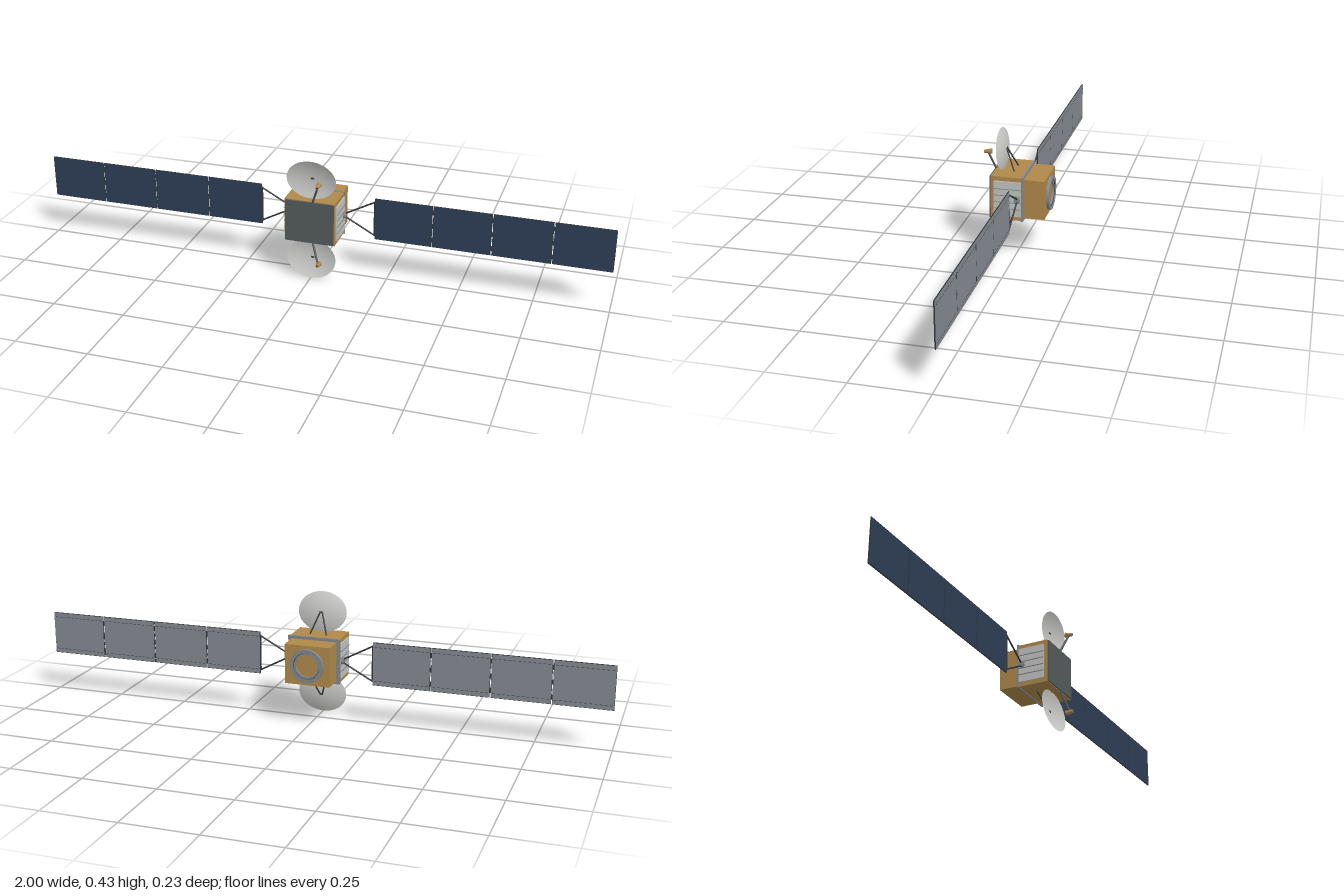
import * as THREE from 'three';

const mat = (name, color, side = THREE.FrontSide) => {
  const m = new THREE.MeshStandardMaterial({ color, side });
  m.name = name;
  return m;
};

export function createModel() {
  const model = new THREE.Group();
  model.name = 'satellite';
  const gold = mat('gold foil', 0xb0884a);
  const silver = mat('silver radiator', 0xc2c4c2);
  const white = mat('dish white', 0xcacac8, THREE.DoubleSide);
  const grey = mat('metal grey', 0x85898c);
  const slate = mat('front plate slate', 0x535b5a);
  const navy = mat('solar cell navy', 0x2e3d55);
  const backing = mat('panel backing grey', 0x858990);
  const dark = mat('dark strut', 0x33373a);

  const CY = 0.2195; // height of the body centre
  const PZ = -0.0125; // plane of the solar wings

  const add = (name, geo, material, x = 0, y = 0, z = 0, parent = model) => {
    const mesh = new THREE.Mesh(geo, material);
    mesh.name = name;
    mesh.position.set(x, y, z);
    parent.add(mesh);
    return mesh;
  };
  const box = (name, w, h, d, material, x, y, z, parent) =>
    add(name, new THREE.BoxGeometry(w, h, d), material, x, y, z, parent);
  const rod = (name, a, b, r, material, parent) => {
    const p = new THREE.Vector3(...a), q = new THREE.Vector3(...b);
    const dir = q.clone().sub(p);
    const mesh = add(name, new THREE.CylinderGeometry(r, r, dir.length(), 10), material, 0, 0, 0, parent);
    mesh.position.copy(p).add(q).multiplyScalar(0.5);
    mesh.quaternion.setFromUnitVectors(new THREE.Vector3(0, 1, 0), dir.normalize());
    return mesh;
  };

  // Body
  box('mainBody', 0.176, 0.153, 0.11, gold, 0, CY, 0.025);
  box('frontPlate', 0.17, 0.149, 0.006, slate, 0, CY, 0.082);
  box('flange', 0.184, 0.157, 0.007, grey, 0, CY, -0.0285);
  box('rearBody', 0.158, 0.137, 0.073, gold, 0, CY, -0.0665);

  // Docking ring with a stepped rim around the rear opening
  const ringProfile = [[0.038, 0], [0.038, 0.006], [0.046, 0.006], [0.046, 0.01], [0.058, 0.01], [0.058, 0]]
    .map(([r, y]) => new THREE.Vector2(r, y));
  const ringGeo = new THREE.LatheGeometry(ringProfile.reverse(), 48).toNonIndexed();
  ringGeo.computeVertexNormals();
  grey.side = THREE.DoubleSide;
  add('rearRing', ringGeo, grey, 0, CY, -0.103).rotation.x = -Math.PI / 2;
  add('rearRingGroove', new THREE.TorusGeometry(0.046, 0.0015, 6, 48), dark, 0, CY, -0.1095);

  for (const s of [1, -1]) {
    // Side radiator with ribs
    const radiator = new THREE.Group();
    radiator.name = s > 0 ? 'leftRadiator' : 'rightRadiator';
    model.add(radiator);
    box('radiatorPanel', 0.005, 0.123, 0.094, silver, s * 0.09, CY, 0.0215, radiator);
    for (const y of [-0.035, -0.012, 0.012, 0.035])
      box('radiatorRib', 0.003, 0.002, 0.094, grey, s * 0.0935, CY + y, 0.0215, radiator);

    // Solar wing
    const wing = new THREE.Group();
    wing.name = s > 0 ? 'leftWing' : 'rightWing';
    model.add(wing);
    const hub = add('wingHub', new THREE.CylinderGeometry(0.011, 0.011, 0.014, 20), grey, s * 0.093, CY, PZ, wing);
    hub.rotation.z = Math.PI / 2;
    for (const t of [1, -1])
      rod('yokeArm', [s * 0.096, CY + t * 0.005, PZ], [s * 0.202, CY + t * 0.062, PZ], 0.0028, dark, wing);
    box('yokeBar', 0.004, 0.128, 0.004, dark, s * 0.2, CY, PZ, wing);
    for (let i = 0; i < 4; i++) {
      const x = s * (0.3 + i * 0.2);
      box('panelFrame', 0.197, 0.15, 0.003, dark, x, CY, PZ, wing);
      box('solarCells', 0.195, 0.147, 0.0014, navy, x, CY, PZ + 0.0021, wing);
      box('panelBack', 0.195, 0.147, 0.0014, backing, x, CY, PZ - 0.0021, wing);
      // Dashed lines on the back
      for (const t of [1, -1])
        for (let k = 0; k < 12; k++)
          box('backDash', 0.009, 0.0016, 0.0006, dark, x + (k - 5.5) * 0.016, CY + t * 0.059, PZ - 0.003, wing);
      // Hinges between panels
      if (i < 3)
        for (const t of [-0.05, 0, 0.05])
          box('hinge', 0.006, 0.016, 0.004, dark, x + s * 0.1, CY + t, PZ - 0.001, wing);
    }
  }

  // Dish antennas above and below the body
  for (const s of [1, -1]) {
    const antenna = new THREE.Group();
    antenna.name = s > 0 ? 'upperAntenna' : 'lowerAntenna';
    antenna.position.y = CY;
    model.add(antenna);

    const profile = [];
    for (let i = 0; i <= 12; i++) {
      const r = i / 12;
      profile.push(new THREE.Vector2(r * 0.086, r * r * 0.0145));
    }
    const dishGeo = new THREE.LatheGeometry(profile, 48);
    dishGeo.rotateX(Math.PI / 2);
    dishGeo.scale(1, 0.82, 1);
    const dish = add('dish', dishGeo, white, 0, s * 0.1465, 0.046, antenna);
    dish.rotation.x = s * 0.107;
    add('dishCentre', new THREE.SphereGeometry(0.003, 10, 8), dark, 0, s * 0.1465, 0.047, antenna);

    // Rear struts
    for (const t of [1, -1])
      rod('dishStrut', [t * 0.03, s * 0.074, 0.012], [t * 0.003, s * 0.149, 0.046], 0.0026, dark, antenna);

    // Feed horn on its boom
    rod('feedBoom', [0.01, s * 0.072, 0.079], [0.036, s * 0.141, 0.101], 0.0036, slate, antenna);
    const horn = add('feedHorn', new THREE.CylinderGeometry(0.0055, 0.0088, 0.026, 20), gold, 0.037, s * 0.1445, 0.101, antenna);
    horn.rotation.x = Math.PI / 2 + s * 0.12;
    const cap = add('feedCap', new THREE.CylinderGeometry(0.003, 0.003, 0.001, 14), dark, 0.037, s * 0.143, 0.1142, antenna);
    cap.rotation.x = Math.PI / 2 + s * 0.12;
  }
  return model;
}
